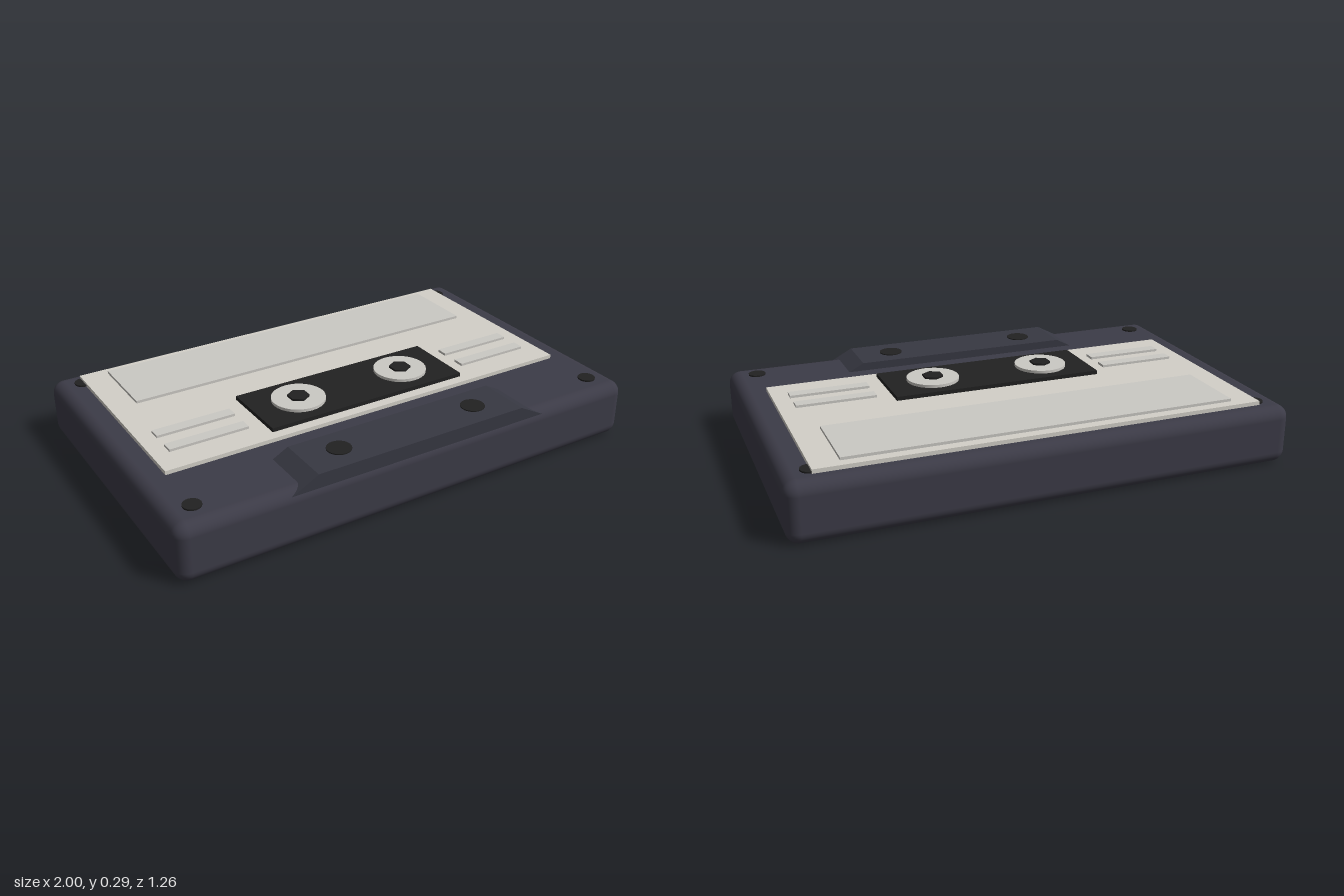
import * as THREE from 'three';
import { RoundedBoxGeometry } from 'three/addons/geometries/RoundedBoxGeometry.js';

const material = (name, color) => {
  const m = new THREE.MeshStandardMaterial({ color });
  m.name = name;
  return m;
};

export function createModel() {
  const shell = material('charcoal shell', 0x3c3b47);
  const ridgeGrey = material('ridge charcoal', 0x373842);
  const paper = material('label paper', 0xd3d0c8);
  const panel = material('panel grey', 0xcbc9c4);
  const black = material('black', 0x212121);

  const group = new THREE.Group();
  const add = (name, geometry, mat, x, y, z) => {
    const mesh = new THREE.Mesh(geometry, mat);
    mesh.name = name;
    mesh.position.set(x, y, z);
    group.add(mesh);
    return mesh;
  };
  // Box given by its x and z ranges and its bottom and top heights
  const slab = (name, mat, x0, x1, z0, z1, y0, y1) =>
    add(name, new THREE.BoxGeometry(x1 - x0, y1 - y0, z1 - z0), mat,
      (x0 + x1) / 2, (y0 + y1) / 2, (z0 + z1) / 2);
  // Upright disc given by its bottom and top heights
  const disc = (name, mat, r, sides, x, z, y0, y1) =>
    add(name, new THREE.CylinderGeometry(r, r, y1 - y0, sides), mat, x, (y0 + y1) / 2, z);

  // Rounded cassette shell
  add('shell', new RoundedBoxGeometry(2, 0.238, 1.26, 5, 0.05), shell, 0, 0.119, 0);

  // Label sheet, writing panel and tape window
  slab('label', paper, -0.89, 0.89, -0.565, 0.3, 0.225, 0.254);
  slab('writingPanel', panel, -0.783, 0.783, -0.525, -0.218, 0.245, 0.265);
  slab('tapeWindow', black, -0.437, 0.437, -0.043, 0.258, 0.24, 0.27);

  // Raised ridge along the front edge, with sloping ends
  const profile = new THREE.Shape([
    new THREE.Vector2(-0.58, 0.205), new THREE.Vector2(0.58, 0.205),
    new THREE.Vector2(0.455, 0.271), new THREE.Vector2(-0.455, 0.271),
  ]);
  add('frontRidge', new THREE.ExtrudeGeometry(profile, { depth: 0.219, bevelEnabled: false }),
    ridgeGrey, 0, 0, 0.404);

  for (const side of [-1, 1]) {
    // Reel with six-sided hub
    disc('reel', panel, 0.108, 32, side * 0.24, 0.107, 0.26, 0.282);
    disc('reelHub', black, 0.044, 6, side * 0.24, 0.107, 0.27, 0.29);

    // Guide hole in the ridge
    disc('guideHole', black, 0.048, 24, side * 0.303, 0.51, 0.26, 0.275);

    // Corner screws
    for (const z of [-0.525, 0.52]) disc('screw', black, 0.035, 20, side * 0.89, z, 0.22, 0.244);

    // Raised bars beside the window
    for (const z of [0.048, 0.163]) {
      const x0 = side > 0 ? 0.5 : -0.823;
      slab('labelBar', panel, x0, x0 + 0.323, z - 0.024, z + 0.024, 0.245, 0.264);
    }
  }
  return group;
}
